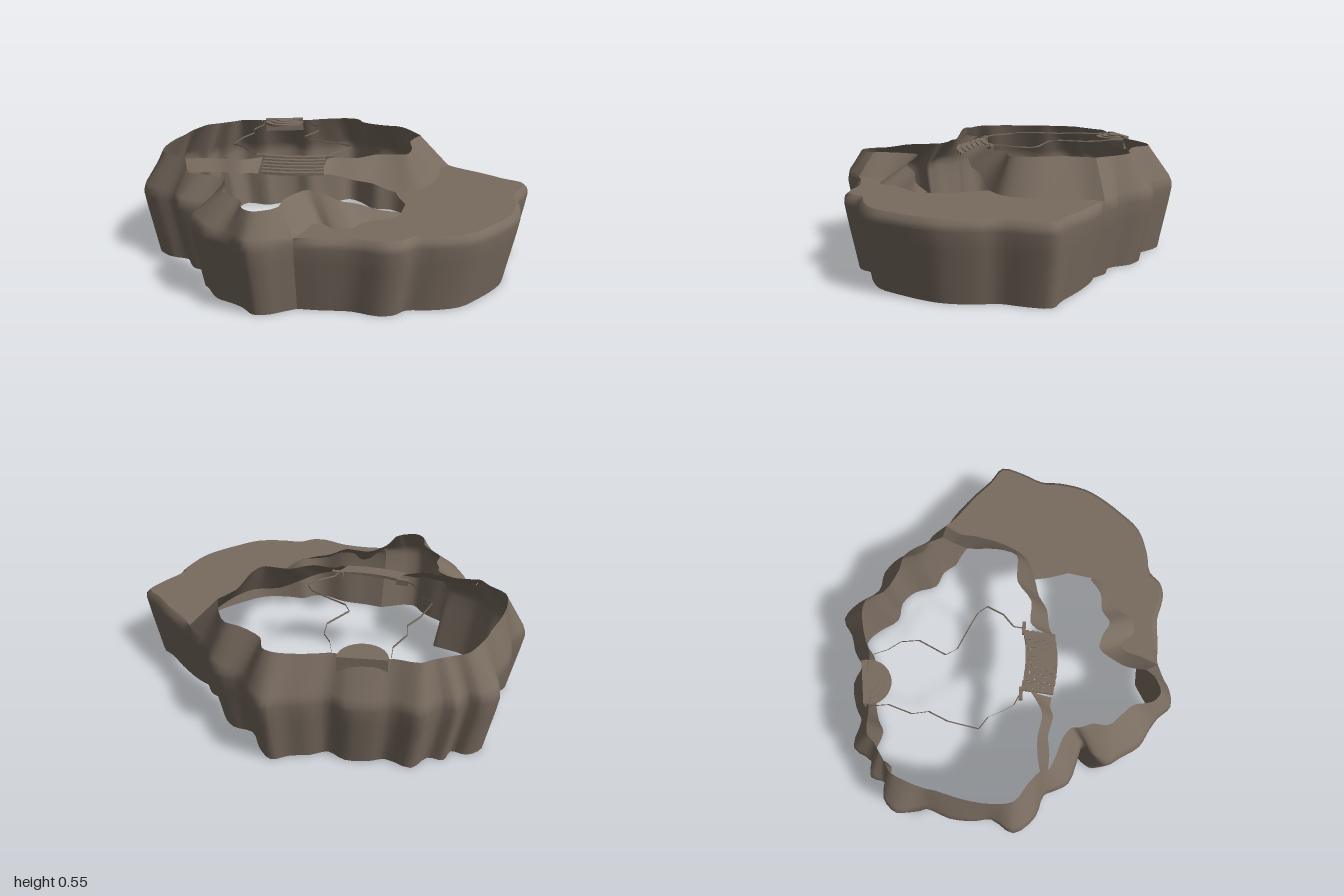
import * as THREE from 'three';

// Ground plans are in hundredths of a unit.
// Wall columns: [bulge x, bulge z, rim x, rim z, rim height]
const frontLobe = [
  [16, 73, 7, 68], [10, 79, 6, 71], [6, 83, 5, 73], [-1, 86, -1, 78], [-9, 82, -7, 76],
  [-16, 80, -12, 68], [-26, 78, -19, 64], [-35, 71, -26, 60], [-41, 66, -28, 53],
  [-40, 59, -32, 48], [-36, 52, -34, 44], [-42, 52, -40, 42], [-56, 52, -50, 42], [-62, 47, -57, 41],
].map(c => [...c, 0.485]);
const leftSide = [
  [-66, 43, -60, 38], [-77, 43, -67, 35], [-88, 36, -77, 32], [-86, 24, -82, 23], [-90, 16, -85, 10],
  [-93, 5, -86, -3], [-93, -8, -87, -9], [-100, -19, -87, -18], [-96, -28, -86, -26],
  [-89, -30, -82, -31], [-89, -38, -79, -35], [-82, -41, -76, -39], [-79, -52, -73, -44],
].map(c => [...c, 0.54]);
const backSide = [
  [-66, -54, -62, -48], [-60, -60, -56, -52], [-50, -66, -45, -57], [-40, -66, -38, -59],
  [-34, -73, -32, -64], [-26, -79, -25, -69], [-20, -86, -17, -73], [-10, -83, -11, -73],
  [1, -76, -5, -67], [12, -78, 9, -65], [22, -74, 17, -66], [31, -64, 25, -61],
  [41, -63, 30, -56], [49, -58, 34, -52],
].map(c => [...c, 0.54]);
const ledgeEdge = [
  [49, -58], [57, -57], [73, -52], [85, -47], [95, -44], [96, -32], [95, -20], [98, -11], [99.7, 3],
  [98, 13], [93, 27], [87, 39], [75, 48], [65, 53], [61, 60], [54, 64], [41, 65], [27, 70], [16, 73],
];

// Inner slopes: [foot x, foot z, rim x, rim z, foot height, rim height]
const backSlope = [
  [49, -58, 34, -52, 0.37, 0.54], [47, -49, 33, -44, 0.37, 0.54], [49, -40, 33, -37, 0.37, 0.54],
  [50, -24, 38, -24, 0.37, 0.54], [47, -11, 38.5, -13, 0.37, 0.54], [37, -2, 32, -10, 0.37, 0.54],
  [27, 4, 25, -7, 0.42, 0.54], [20, 11, 18, 3, 0.45, 0.54], [10, 16, 7, 7, 0.48, 0.54], [6, 20, 5, 11, 0.49, 0.54],
];
const dividerSlope = [
  [-23.5, 30, -26, 20], [-28, 31, -29, 24], [-32, 34, -34, 29], [-41, 35, -45, 31],
  [-50, 39, -53, 34], [-57, 41, -60, 38],
].map(c => [...c, 0.485, 0.54]);
const frontSlope = [
  [16, 73, 7, 68, 0.37, 0.485], [17, 64, 5, 59, 0.37, 0.485], [17, 55, 6, 51, 0.37, 0.485],
  [20, 52, 9, 43, 0.37, 0.485], [28, 56, 17, 42, 0.37, 0.475], [35, 52, 25, 43, 0.37, 0.455],
  [37, 44, 31, 37, 0.37, 0.43], [48, 32, 41, 33, 0.37, 0.4], [49, 26, 48, 25, 0.37, 0.373],
];
const leftPath = [
  [-61, -48], [-57, -40], [-57, -28], [-53, -21], [-54, -11], [-52, 4], [-45, 6], [-40, 11], [-35, 15], [-26, 16],
];
const rightPath = [
  [-38, -59], [-32, -52], [-26, -48], [-22, -40], [-24, -25], [-19, -21],
  [-7, -20], [2, -19], [7, -16], [6, -7], [2, 0], [3, 5],
];

const P = (x, z, y = 0) => new THREE.Vector3(x / 100, y, z / 100);
const inset = (p, d, y) => {
  const k = 1 - d / Math.hypot(p.x, p.z);
  return new THREE.Vector3(p.x * k, y, p.z * k);
};
const smooth = (pts, steps = 3) => {
  const curve = new THREE.CatmullRomCurve3(pts, false, 'centripetal');
  const n = (pts.length - 1) * steps;
  return Array.from({ length: n + 1 }, (_, i) => curve.getPoint(i / n));
};

// Skin a row of columns, smoothing along the row
function loft(columns, steps = 3) {
  const rows = columns[0].map((_, r) => smooth(columns.map(c => c[r]), steps));
  const n = rows[0].length, pos = [], idx = [];
  rows.forEach(row => row.forEach(p => pos.push(p.x, p.y, p.z)));
  for (let r = 0; r < rows.length - 1; r++) {
    for (let i = 0; i < n - 1; i++) {
      const a = r * n + i, b = a + 1, c = a + n, d = c + 1;
      idx.push(a, c, b, b, c, d);
    }
  }
  const g = new THREE.BufferGeometry();
  g.setAttribute('position', new THREE.Float32BufferAttribute(pos, 3));
  g.setIndex(idx);
  g.computeVertexNormals();
  return g;
}

export function createModel() {
  const model = new THREE.Group();
  const rock = new THREE.MeshStandardMaterial({ color: 0x786b5f, side: THREE.DoubleSide });
  rock.name = 'brown rock';
  const add = (name, geometry, parent = model) => {
    const m = new THREE.Mesh(geometry, rock);
    m.name = name;
    parent.add(m);
    return m;
  };

  // Lower part shared by all outer cliffs: leans out to a bulge
  const lowerWall = s => [inset(s, 0.062, 0), inset(s, 0.014, 0.24), inset(s, 0, 0.32), inset(s, 0.004, 0.35)];

  // Tall outer cliff, sloping in to the rim
  const tallColumns = [...frontLobe, ...leftSide, ...backSide];
  add('outerCliff', loft(tallColumns.map(([x, z, rx, rz, ry], i) => {
    const s = P(x, z), r = P(rx, rz, ry);
    const atLedge = i === 0 || i === tallColumns.length - 1;
    const shoulder = atLedge ? s.clone().setY(0.37) : s.clone().lerp(r, 0.13).setY(0.38);
    return [...lowerWall(s), shoulder, r];
  })));

  // Low cliff under the ledge, meeting the tall cliff at both ends
  const lowColumns = ledgeEdge.map(([x, z], i) => {
    const s = P(x, z);
    const atEnd = i === 0 || i === ledgeEdge.length - 1;
    return [...lowerWall(s), inset(s, atEnd ? 0 : 0.028, 0.37)];
  });
  add('ledgeCliff', loft(lowColumns));

  // Flat ledge
  const foot = list => smooth(list.map(c => P(c[0], c[1])));
  const outline = [
    ...smooth(lowColumns.map(c => c[4])),
    ...foot(frontSlope).slice(1),
    ...[[47, 13], [41, 5]].map(([x, z]) => P(x, z)),
    ...foot(backSlope.slice(0, 6)).slice(1).reverse(),
  ];
  const ledge = new THREE.ShapeGeometry(new THREE.Shape(outline.map(p => new THREE.Vector2(p.x, -p.z))));
  add('ledgeTop', ledge.rotateX(-Math.PI / 2).translate(0, 0.37, 0));

  // Inner slopes
  const slope = ([fx, fz, rx, rz, fy, ry]) => [P(fx, fz, fy), P(rx, rz, ry)];
  add('backSlope', loft(backSlope.map(slope)));
  add('dividerSlope', loft(dividerSlope.map(slope)));
  add('frontSlope', loft(frontSlope.map(slope)));

  // Thin angular kerbs along both sides of the path
  [['leftPathKerb', leftPath], ['rightPathKerb', rightPath]].forEach(([name, path]) => {
    const section = [[-0.25, 0.534], [-0.25, 0.54], [0.25, 0.54], [0.25, 0.534]];
    add(name, loft(path.map(([x, z]) => section.map(([d, y]) => P(x + d, z + d, y))), 1));
  });

  // Stairs of separate stones, bowed towards the bottom
  const stairs = new THREE.Group();
  stairs.name = 'stairs';
  stairs.position.set(-0.1, 0, 0.175);
  stairs.rotation.y = 0.333;
  model.add(stairs);
  const rows = 6, width = 0.31, tread = 0.026;
  for (let r = 0; r < rows; r++) {
    const count = 6 + (r % 2), w = width / count;
    for (let i = 0; i < count; i++) {
      const x = -width / 2 + (i + 0.5) * w;
      const bow = 0.018 * (1 - (2 * x / width) ** 2);
      const stone = add('stairStone', new THREE.BoxGeometry(w - 0.001, 0.014, tread), stairs);
      stone.position.set(x, 0.534 - r * 0.0085, -0.065 + r * tread + bow);
      stone.rotation.y = 0.23 * x / width;
    }
  }
  for (const side of [-1, 1]) {
    add('stairEnd', new THREE.BoxGeometry(0.06, 0.03, 0.018), stairs).position.set(side * 0.168, 0.526, -0.075);
  }

  // Fan-shaped doorstep on the back rim, in wedge stones
  const fan = new THREE.Group();
  fan.name = 'fanSteps';
  fan.position.set(-0.51, 0, -0.55);
  fan.rotation.y = 0.49;
  model.add(fan);
  add('fanSill', new THREE.BoxGeometry(0.22, 0.07, 0.028), fan).position.set(0, 0.511, 0);
  [0.112, 0.082, 0.052].forEach((radius, ring) => {
    const count = 7 - ring * 2, span = Math.PI / count;
    for (let i = 0; i < count; i++) {
      const stone = new THREE.CylinderGeometry(radius, radius, 0.012, 2, 1, false, -Math.PI / 2 + i * span, span);
      add('fanStone', stone, fan).position.set(0, 0.529 + ring * 0.0055, 0.01);
    }
  });

  return model;
}
